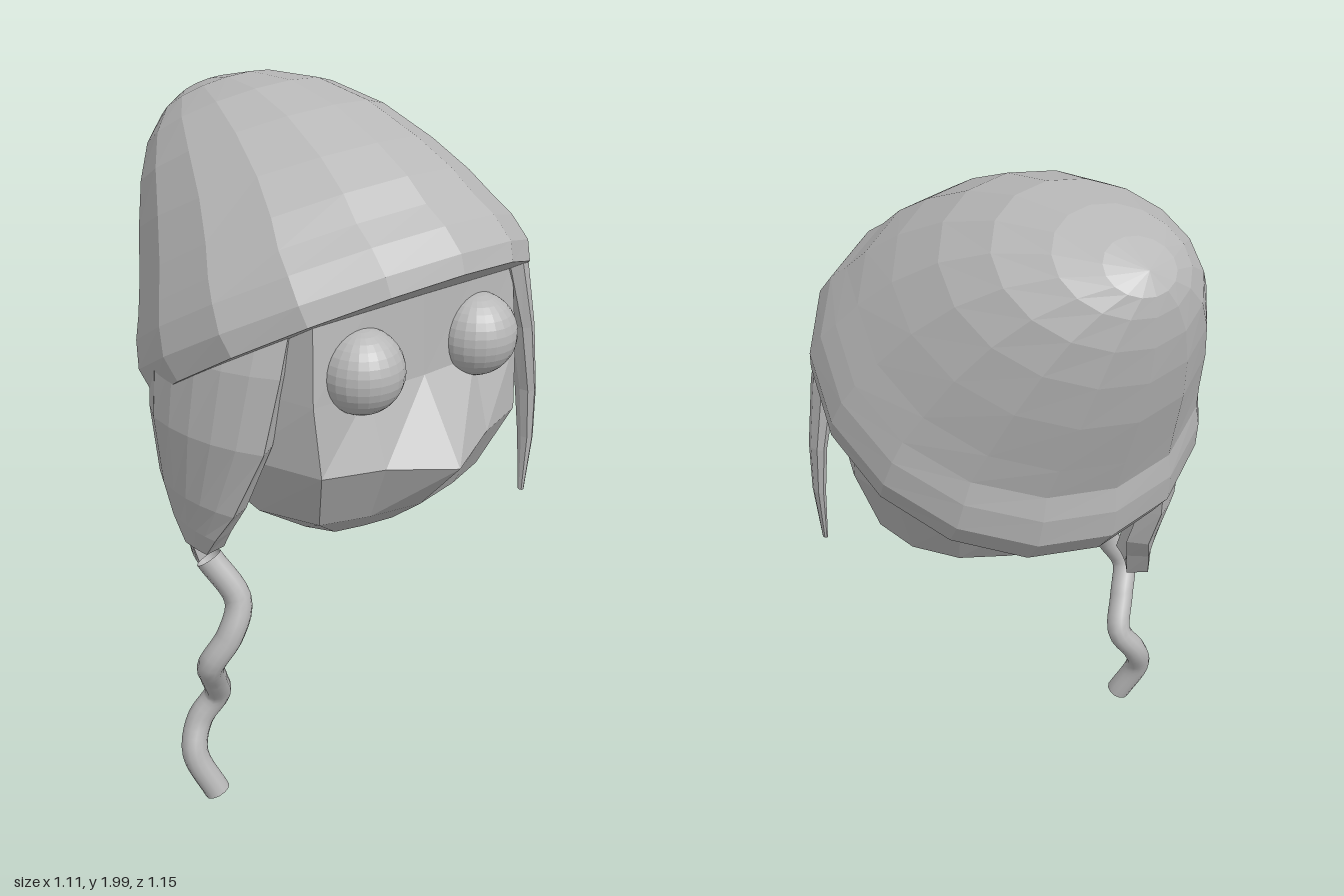
import * as THREE from 'three';

const V = (x, y, z) => new THREE.Vector3(x, y, z);

// Faceted skin through rows of points, bottom to top; a one-point row is a tip.
function loft(rows) {
  const pos = [];
  const tri = (a, b, c) => {
    if (a !== b && b !== c && a !== c) [a, b, c].forEach(p => pos.push(p.x, p.y, p.z));
  };
  for (let i = 0; i < rows.length - 1; i++) {
    const lo = rows[i], hi = rows[i + 1], n = Math.max(lo.length, hi.length);
    for (let j = 0; j < n; j++) {
      const at = (r, k) => r[k % r.length];
      const a = at(lo, j), b = at(lo, j + 1), c = at(hi, j + 1), d = at(hi, j);
      tri(a, b, c);
      tri(a, c, d);
    }
  }
  const g = new THREE.BufferGeometry();
  g.setAttribute('position', new THREE.Float32BufferAttribute(pos, 3));
  g.computeVertexNormals();
  return g;
}

const centre = row => [row.reduce((s, p) => s.add(p), V(0, 0, 0)).divideScalar(row.length)];
const capped = rows => loft([centre(rows[0]), ...rows, centre(rows[rows.length - 1])]);

// Tilted hat rings: front z, front y, back z, back y, half width
function hatGeometry() {
  const rings = [
    [0.42, 1.55, -0.25, 1.13, 0.42],
    [0.56, 1.64, -0.38, 1.05, 0.54],
    [0.545, 1.69, -0.44, 1.12, 0.555],
    [0.485, 1.745, -0.452, 1.2, 0.54],
    [0.415, 1.785, -0.448, 1.27, 0.515],
    [0.345, 1.84, -0.48, 1.36, 0.475],
    [0.23, 1.9, -0.53, 1.5, 0.42],
    [0.06, 1.965, -0.56, 1.62, 0.355],
    [-0.12, 1.997, -0.575, 1.72, 0.28],
    [-0.3, 1.99, -0.577, 1.8, 0.185],
    [-0.44, 1.955, -0.57, 1.85, 0.1],
  ];
  const rows = rings.map(([fz, fy, bz, by, w]) => Array.from({ length: 16 }, (_, j) => {
    const a = j * Math.PI / 8, t = (1 + Math.cos(a)) / 2;
    return V(w * Math.sin(a), by + (fy - by) * t, bz + (fz - bz) * t);
  }));
  return loft([...rows, [V(0, 1.905, -0.54)]]);
}

// Head rings: y, half width, front z, back z, nose depth, flatness of the face
function headGeometry() {
  const rings = [
    [0.86, 0.22, 0.32, 0.04, 0, 0.72],
    [0.95, 0.36, 0.43, -0.18, 0, 0.74],
    [1.135, 0.43, 0.53, -0.31, 0.045, 0.76],
    [1.33, 0.445, 0.43, -0.34, 0, 0.95],
    [1.55, 0.43, 0.42, -0.33, 0, 0.93],
    [1.73, 0.27, 0.22, -0.3, 0, 0.75],
  ];
  const rows = rings.map(([y, w, f, b, nose, flat]) => {
    const half = [[0, 1], [0.42, 0.6 + 0.4 * flat], [0.8, flat], [1, 0.2], [0.95, -0.3], [0.73, -0.7], [0.38, -0.93], [0, -1]];
    const outline = [...half, ...half.slice(1, -1).reverse().map(([x, z]) => [-x, z])];
    return outline.map(([x, z], j) => {
      const tip = j === 0 ? nose : 0;
      return V(x * w, y - tip / 2, (f + b) / 2 + z * (f - b) / 2 + tip);
    });
  });
  return loft([[V(0, 0.845, 0.22)], ...rows, [V(0, 1.8, -0.04)]]);
}

// Tapering lock of oval sections: x, y, z, half depth, half thickness
function lockGeometry(sections) {
  return capped(sections.map(([x, y, z, w, t]) => Array.from({ length: 8 }, (_, j) => {
    const a = j * Math.PI / 4;
    return V(x + t * Math.sin(a), y, z + w * Math.cos(a));
  })));
}

// Hair sheet curved round the head: y, front angle, front radius, back angle, back radius
function sheetGeometry(sections) {
  const steps = 5;
  return capped(sections.map(([y, frontA, frontR, backA, backR]) => {
    const at = (t, offset) => {
      const a = THREE.MathUtils.degToRad(THREE.MathUtils.lerp(backA, frontA, t));
      const r = THREE.MathUtils.lerp(backR, frontR, t) + offset;
      return V(-r * Math.sin(a), y, 0.05 + r * Math.cos(a));
    };
    const outer = [], inner = [];
    for (let i = 0; i <= steps; i++) {
      outer.push(at(i / steps, 0.015));
      inner.push(at(1 - i / steps, -0.05));
    }
    return [...outer, ...inner];
  }));
}

export function createModel() {
  const model = new THREE.Group();
  const grey = new THREE.MeshStandardMaterial({ color: 0xb8b8b8, side: THREE.DoubleSide });
  grey.name = 'grey';
  const add = (name, geometry) => {
    const mesh = new THREE.Mesh(geometry, grey);
    mesh.name = name;
    model.add(mesh);
    return mesh;
  };

  add('hat', hatGeometry());
  add('head', headGeometry());

  // Eyes
  for (const side of [1, -1]) {
    const ball = new THREE.SphereGeometry(0.113, 24, 16).toNonIndexed();
    ball.computeVertexNormals();
    add(side > 0 ? 'leftEye' : 'rightEye', ball).position.set(side * 0.2, 1.39, 0.41);
  }

  // Thin pointed lock beside the face
  add('leftLock', lockGeometry([
    [0.442, 0.83, 0.388, 0.01, 0.007],
    [0.452, 1.0, 0.382, 0.027, 0.017],
    [0.448, 1.15, 0.375, 0.036, 0.023],
    [0.418, 1.35, 0.367, 0.046, 0.034],
    [0.36, 1.56, 0.365, 0.052, 0.05],
  ]));

  // Broad hair on the other side: one sheet parting into two prongs
  add('rightFrontLock', sheetGeometry([
    [0.83, 82, 0.48, 93, 0.48],
    [0.9, 76, 0.5, 98, 0.49],
    [1.0, 68, 0.515, 99, 0.51],
    [1.2, 58, 0.52, 99, 0.53],
    [1.4, 54, 0.49, 99, 0.515],
    [1.53, 52, 0.455, 99, 0.47],
  ]));
  add('rightBackLock', sheetGeometry([
    [0.71, 97, 0.415, 121, 0.4],
    [0.8, 98, 0.44, 128, 0.395],
    [0.88, 99, 0.48, 136, 0.395],
    [1.0, 99, 0.51, 139, 0.43],
    [1.2, 99, 0.53, 142, 0.44],
    [1.35, 99, 0.52, 142, 0.44],
  ]));

  // Wavy hollow cord
  const path = new THREE.CatmullRomCurve3([
    V(-0.475, 0.81, 0.105), V(-0.43, 0.69, 0.175), V(-0.47, 0.6, 0.188), V(-0.517, 0.51, 0.16),
    V(-0.475, 0.42, 0.11), V(-0.432, 0.32, 0.06), V(-0.48, 0.24, 0.037), V(-0.517, 0.15, 0.06),
    V(-0.477, 0.02, 0.11),
  ]);
  add('cord', new THREE.TubeGeometry(path, 40, 0.038, 12, false));

  return model;
}
